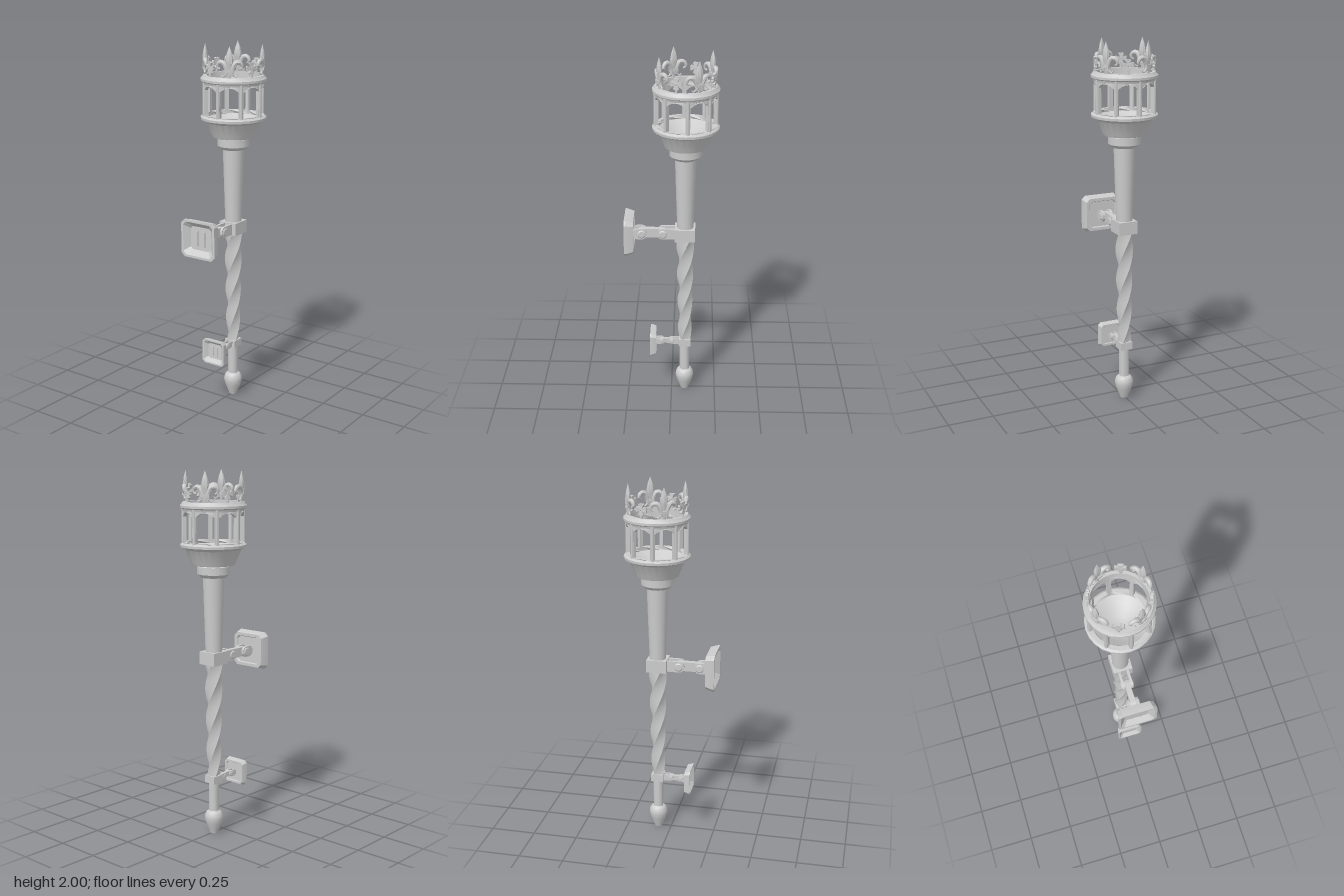
import * as THREE from 'three';
import { toCreasedNormals, mergeGeometries } from 'three/addons/utils/BufferGeometryUtils.js';

const AXIS_X = 0.075; // the torch stands off-centre, its wall plates reach to -x
const RING = 0.152;   // mean radius of the lantern wall and crown
const mat = new THREE.MeshStandardMaterial({ color: 0xcccccc });

function add(parent, name, geo, x = 0, y = 0, z = 0) {
  const mesh = new THREE.Mesh(geo, mat);
  mesh.name = name;
  mesh.position.set(x, y, z);
  parent.add(mesh);
  return mesh;
}

const lathe = (pts, seg = 24) =>
  toCreasedNormals(new THREE.LatheGeometry(pts.map(p => new THREE.Vector2(p[0], p[1])), seg), 0.55);

// Move every vertex by a rule
function warp(geo, rule) {
  const p = geo.attributes.position, v = new THREE.Vector3();
  for (let i = 0; i < p.count; i++) {
    rule(v.fromBufferAttribute(p, i));
    p.setXYZ(i, v.x, v.y, v.z);
  }
  return geo;
}

// Wrap a flat part (x sideways, z outwards) round the lantern axis
const bend = geo => toCreasedNormals(warp(geo, v => {
  const a = v.x / RING, r = RING + v.z;
  v.set(Math.sin(a) * r, v.y, Math.cos(a) * r);
}), 0.6);

// Round bar along a curve with a radius for each fraction of its length
function taperedTube(points, radiusAt) {
  const curve = new THREE.CatmullRomCurve3(points.map(p => new THREE.Vector3(p[0], p[1], 0)));
  const n = 14, m = 8;
  const geo = new THREE.TubeGeometry(curve, n, 1, m);
  const p = geo.attributes.position, v = new THREE.Vector3();
  for (let i = 0; i < p.count; i++) {
    const t = Math.floor(i / (m + 1)) / n, c = curve.getPointAt(t);
    v.fromBufferAttribute(p, i).sub(c).multiplyScalar(radiusAt(t)).add(c);
    p.setXYZ(i, v.x, v.y, v.z);
  }
  return geo;
}

// Flat bar with rounded ends between two pivots, centred on z = 0
function linkBar(x0, x1, r, thick) {
  const s = new THREE.Shape();
  s.absarc(x1, 0, r, -Math.PI / 2, Math.PI / 2);
  s.absarc(x0, 0, r, Math.PI / 2, Math.PI * 1.5);
  const geo = new THREE.ExtrudeGeometry(s, { depth: thick, bevelEnabled: false, curveSegments: 10 });
  return toCreasedNormals(geo.translate(0, 0, -thick / 2), 0.6);
}

// Hollow-backed wall plate with cut corners; its back lies at x = 0
function plateGeometry(d, hy, hz) {
  const profile = [[0, 0.6], [0.62, 0.6], [0.68, 0.45], [0.88, 0], [1, 0], [1, 0.2], [0.9, 1], [0.74, 1], [0.7, 0.84], [0, 0.84]];
  const geo = new THREE.LatheGeometry(profile.map(p => new THREE.Vector2(p[0], p[1] * d)), 8, Math.PI / 8);
  warp(geo, v => {
    const r = Math.hypot(v.x, v.z), wide = Math.abs(v.x) > Math.abs(v.z);
    v.x = Math.sign(v.x) * r * (wide ? 1 : 0.8) * hy;
    v.z = Math.sign(v.z) * r * (wide ? 0.8 : 1) * hz;
  });
  return toCreasedNormals(geo.rotateZ(-Math.PI / 2), 0.3);
}

function bracket(name, x, y, o) {
  const g = new THREE.Group();
  g.name = name;
  g.position.set(x, y, 0);
  add(g, 'wallPlate', plateGeometry(o.d, o.hy, o.hz));
  // raised bars inside the hollow back
  for (const s of [-1, 1])
    add(g, 'backBar', new THREE.BoxGeometry(o.d * 0.2, o.hy * 0.8, o.hz * 0.12), o.d * 0.53, 0, s * o.hz * 0.22);
  const t = o.r * 0.45;
  for (const s of [-1, 1]) {
    add(g, 'plateLug', linkBar(o.d * 0.84 + o.r, o.b1, o.r, t), 0, 0, s * o.r * 0.8);
    add(g, 'clampLug', linkBar(o.b2, o.c0, o.r, t), 0, 0, s * o.r * 0.8);
  }
  add(g, 'link', linkBar(o.b1, o.b2, o.r * 0.85, o.r));
  // pivot bolts with domed heads
  for (const b of [o.b1, o.b2]) {
    const h = o.r * 1.22, r = o.r * 0.78;
    add(g, 'bolt', lathe([[0, -h], [r * 0.75, -h], [r, -h * 0.88], [r, h * 0.88], [r * 0.75, h], [0, h]], 14).rotateX(Math.PI / 2), b);
  }
  add(g, 'clamp', new THREE.BoxGeometry(o.c1 - o.c0, o.ch * 2, o.cz * 2), (o.c0 + o.c1) / 2);
  return g;
}

// One bay of the lantern wall: a frame round an arched opening
function bayGeometry() {
  const w = RING * Math.PI / 8, y0 = 1.605, y1 = 1.805, n = 6;
  const outline = [], hole = [], hw = w - 0.011;
  for (let i = 0; i <= n; i++) outline.push(new THREE.Vector2(-w + 2 * w * i / n, y0));
  for (let i = n; i >= 0; i--) outline.push(new THREE.Vector2(-w + 2 * w * i / n, y1));
  for (let i = 0; i <= n; i++) hole.push(new THREE.Vector2(-hw + 2 * hw * i / n, 1.625));
  for (let i = n; i >= 0; i--) {
    const u = 2 * i / n - 1;
    hole.push(new THREE.Vector2(hw * u, 1.784 - 0.024 * u * u));
  }
  const s = new THREE.Shape(outline);
  s.holes.push(new THREE.Path(hole));
  return bend(new THREE.ExtrudeGeometry(s, { depth: 0.018, bevelEnabled: false }).translate(0, 0, -0.009));
}

// Large crown ornament: a spear-shaped leaf, two curled leaves and a band
function lilyGeometry() {
  const leaf = new THREE.LatheGeometry([[0, 1.82], [0.009, 1.83], [0.008, 1.875], [0.018, 1.91], [0.021, 1.93], [0.014, 1.963], [0, 2]]
    .map(p => new THREE.Vector2(...p)), 8).scale(1, 1, 0.7);
  const parts = [leaf, new THREE.BoxGeometry(0.044, 0.014, 0.026, 4, 1, 1).translate(0, 1.873, 0)];
  for (const s of [-1, 1]) {
    parts.push(taperedTube([[s * 0.012, 1.85], [s * 0.017, 1.885], [s * 0.034, 1.915], [s * 0.058, 1.912], [s * 0.066, 1.889], [s * 0.052, 1.88]],
      t => 0.003 + 0.01 * Math.sin(Math.PI * Math.min(1, t * 0.8 + 0.15))));
    parts.push(taperedTube([[s * 0.012, 1.87], [s * 0.02, 1.852], [s * 0.034, 1.843], [s * 0.042, 1.852]], t => 0.007 - 0.004 * t));
  }
  return bend(mergeGeometries(parts.map(p => p.toNonIndexed())));
}

// Small crown ornament: four-lobed cross on a stem
function crossGeometry() {
  const parts = [new THREE.CylinderGeometry(0.006, 0.009, 0.06, 8).translate(0, 1.85, 0),
    new THREE.SphereGeometry(0.009, 10, 8).translate(0, 1.883, 0)];
  for (let k = 0; k < 4; k++) {
    const s = new THREE.Shape();
    s.moveTo(-0.004, 0);
    s.lineTo(0.004, 0);
    s.lineTo(0.015, 0.026);
    s.quadraticCurveTo(0.008, 0.034, 0, 0.028);
    s.quadraticCurveTo(-0.008, 0.034, -0.015, 0.026);
    parts.push(new THREE.ExtrudeGeometry(s, { depth: 0.014, bevelEnabled: false, curveSegments: 4 })
      .translate(0, 0, -0.007).rotateZ(k * Math.PI / 2).translate(0, 1.883, 0));
  }
  return bend(mergeGeometries(parts.map(p => p.index ? p.toNonIndexed() : p)));
}

export function createModel() {
  const model = new THREE.Group();
  model.name = 'wallTorch';
  const torch = new THREE.Group();
  torch.name = 'torch';
  torch.position.x = AXIS_X;
  model.add(torch);

  // Pole, from the bottom up
  add(torch, 'finial', lathe([[0, 0], [0.022, 0], [0.027, 0.015], [0.043, 0.055], [0.051, 0.085], [0.05, 0.105], [0.042, 0.122], [0.028, 0.132], [0, 0.132]], 20));
  add(torch, 'lowerRod', lathe([[0.027, 0.12], [0.029, 0.31]], 20));
  const y0 = 0.31, y1 = 1.0;
  const twist = new THREE.CylinderGeometry(0.05, 0.037, y1 - y0, 4, 48, true).translate(0, (y0 + y1) / 2, 0);
  warp(twist, v => {
    const a = (v.y - y0) / (y1 - y0) * Math.PI * 2 + Math.PI / 4;
    v.applyAxisAngle(new THREE.Vector3(0, 1, 0), a);
  });
  add(torch, 'twistedBar', toCreasedNormals(twist, 0.7));
  add(torch, 'upperShaft', lathe([[0.044, 1.0], [0.047, 1.1], [0.058, 1.45]], 20));
  add(torch, 'collar', lathe([[0.05, 1.435], [0.068, 1.437], [0.087, 1.455], [0.087, 1.495], [0.08, 1.505], [0.08, 1.515]]));

  // Bowl with flared outside, lower rim and dished floor
  add(torch, 'bowl', lathe([[0, 1.503], [0.114, 1.503], [0.12, 1.515], [0.148, 1.585], [0.16, 1.594], [0.176, 1.6], [0.177, 1.613],
    [0.166, 1.622], [0.145, 1.622], [0.143, 1.605], [0.1, 1.575], [0.045, 1.545], [0, 1.545]]));

  // Lantern wall and slim posts
  const bay = bayGeometry(), post = new THREE.CylinderGeometry(0.009, 0.009, 0.19, 8).translate(0, 1.71, 0.16);
  const start = 0.07, step = Math.PI / 4;
  for (let k = 0; k < 8; k++) {
    add(torch, 'windowBay', bay).rotation.y = start + (k + 0.5) * step;
    add(torch, 'post', post).rotation.y = start + k * step;
  }
  add(torch, 'upperRim', lathe([[0.143, 1.79], [0.164, 1.79], [0.167, 1.8], [0.176, 1.806], [0.176, 1.818], [0.168, 1.826], [0.162, 1.836],
    [0.145, 1.836], [0.143, 1.79]]));

  // Crown
  const lily = lilyGeometry(), cross = crossGeometry();
  for (let k = 0; k < 4; k++) {
    const a = 0.46 + k * Math.PI / 2;
    add(torch, 'crownLily', lily).rotation.y = a;
    add(torch, 'crownCross', cross).rotation.y = a + Math.PI / 4;
  }

  // Wall brackets
  model.add(bracket('upperBracket', -0.255, 1.0,
    { d: 0.05, hy: 0.103, hz: 0.108, r: 0.03, b1: 0.092, b2: 0.208, c0: 0.273, c1: 0.384, ch: 0.035, cz: 0.053 }));
  model.add(bracket('lowerBracket', -0.12, 0.315,
    { d: 0.033, hy: 0.071, hz: 0.072, r: 0.017, b1: 0.063, b2: 0.121, c0: 0.162, c1: 0.23, ch: 0.021, cz: 0.034 }));
  return model;
}
